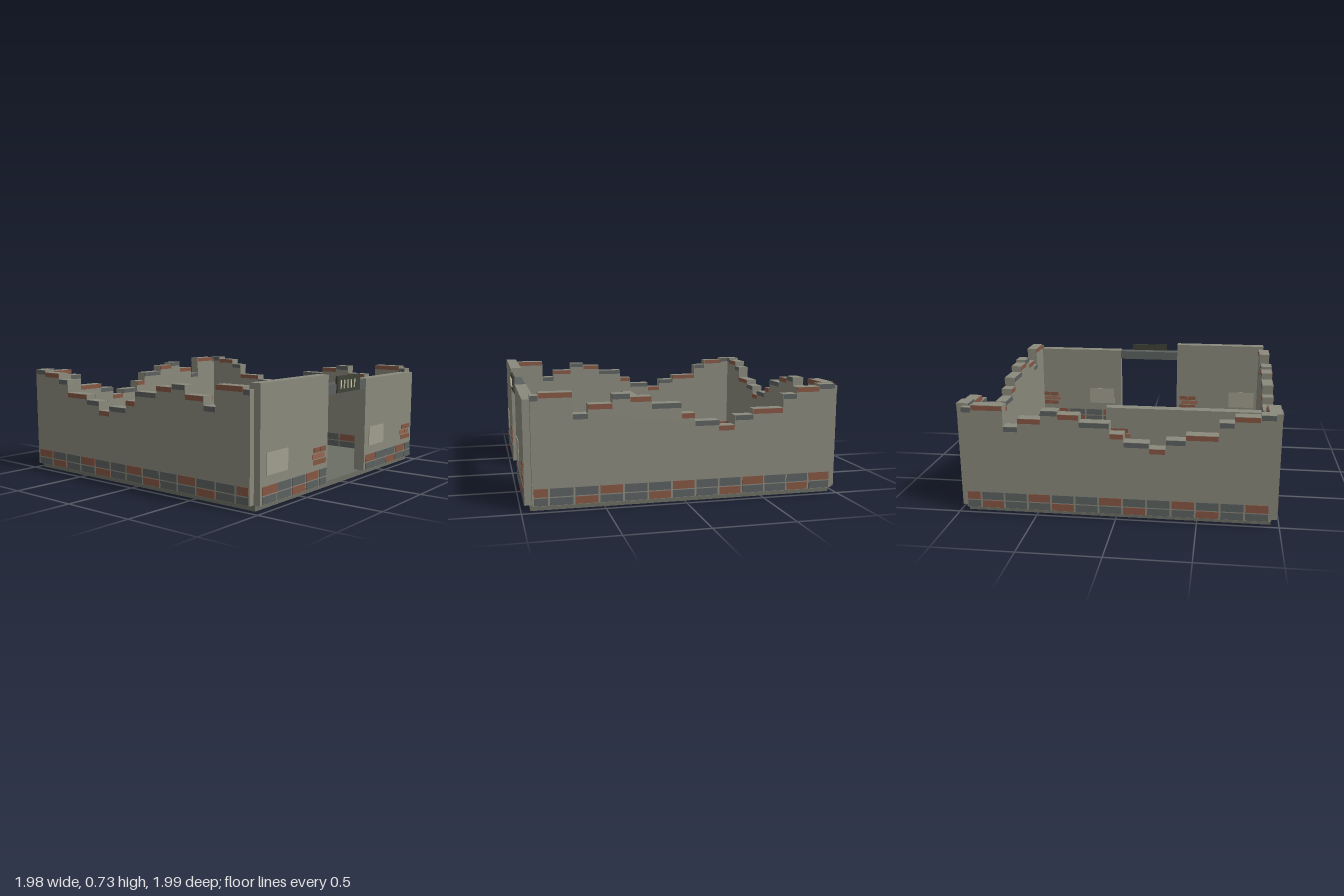
import * as THREE from 'three';

const mat = (color) => new THREE.MeshStandardMaterial({ color });
const M = {
  wall: mat(0x8a897c), floor: mat(0x6b6e64), grey: mat(0x5b605f), red: mat(0x855643),
  paleRed: mat(0x966650), plaster: mat(0xa09e8e), sign: mat(0x3f4236), bar: mat(0xcac6ac),
  wood: mat(0x42332a), blanket: mat(0x6a6d5a),
};
const T = 0.075;      // wall thickness
const PROUD = 0.008;  // how far bricks stand out, both faces together
const BASE = 0.035;   // top of the floor slab

// Box given by its extents
function box(parent, name, m, x0, x1, y0, y1, z0, z1) {
  const mesh = new THREE.Mesh(new THREE.BoxGeometry(x1 - x0, y1 - y0, z1 - z0), m);
  mesh.position.set((x0 + x1) / 2, (y0 + y1) / 2, (z0 + z1) / 2);
  mesh.name = name;
  parent.add(mesh);
  return mesh;
}

// Box centred on the wall plane, d thick
const slab = (g, name, m, x0, x1, y0, y1, d = T) => box(g, name, m, x0, x1, y0, y1, -d / 2, d / 2);

// Two rows of bricks along the foot of a wall, showing on both faces
function baseCourse(g, x0, x1, lowerPhase) {
  for (let i = 0, x = x0 + 0.02; x < x1 - 0.03; i++, x += 0.149) {
    const end = Math.min(x + 0.137, x1 - 0.01);
    slab(g, 'baseBrick', i % 3 === 0 ? M.red : M.grey, x, end, 0.09, 0.14, T + PROUD);
    slab(g, 'baseBrick', i % 3 === lowerPhase ? M.red : M.grey, x, end, 0.038, 0.083, T + PROUD);
  }
}

// Straight-topped wall with a plaster patch and exposed bricks
function plainWall(name, x0, x1, top) {
  const g = new THREE.Group();
  g.name = name;
  slab(g, 'wallPanel', M.wall, x0, x1, BASE, top);
  baseCourse(g, x0, x1, 2);
  slab(g, 'plasterPatch', M.plaster, x0 + 0.06, x0 + 0.27, 0.2, 0.33, T + PROUD);
  for (let row = 0; row < 3; row++) {
    const shift = row === 1 ? -0.018 : 0;
    for (const s of [-1, 1]) {
      const cx = x1 - 0.092 + shift + s * 0.035, y = 0.177 + row * 0.038;
      slab(g, 'exposedBrick', row === 1 ? M.paleRed : M.red, cx - 0.033, cx + 0.033, y, y + 0.031, T + PROUD);
    }
  }
  return g;
}

// Broken top of the ruined walls: [end of step, height]
const STEPS = [
  [-0.86, 0.705], [-0.71, 0.69], [-0.62, 0.65], [-0.425, 0.565], [-0.305, 0.53], [-0.205, 0.47],
  [-0.05, 0.505], [0.035, 0.555], [0.22, 0.62], [0.35, 0.665], [0.455, 0.685], [0.6, 0.63],
  [0.69, 0.575], [0.887, 0.705], [2, 0.69],
];
function ruinedWall(name, x0, x1, lowerPhase) {
  const g = new THREE.Group();
  g.name = name;
  // One stepped outline, extruded to the wall thickness
  const pts = [[x0, BASE]];
  let x = x0;
  STEPS.forEach(([end, h], i) => {
    const e = Math.min(end, x1);
    pts.push([x, h], [e, h]);
    slab(g, 'topBrick', i % 2 ? M.red : M.grey, x + 0.002, e - 0.002, h - 0.031, h - 0.001, T + PROUD);
    x = e;
  });
  pts.push([x1, BASE]);
  const shape = new THREE.Shape(pts.map(([a, b]) => new THREE.Vector2(a, b)));
  const geo = new THREE.ExtrudeGeometry(shape, { depth: T, bevelEnabled: false }).translate(0, 0, -T / 2);
  const panel = new THREE.Mesh(geo, M.wall);
  panel.name = 'brokenWallPanel';
  g.add(panel);
  baseCourse(g, x0, x1, lowerPhase);
  return g;
}

// Small heap of broken bricks: [dx, dz, turn, material]
function rubble(cx, cz) {
  const g = new THREE.Group();
  g.name = 'rubblePile';
  const bricks = [
    [-0.04, -0.04, 0, M.grey], [-0.04, 0.042, -0.6, M.grey],
    [0.04, -0.038, 0.3, M.red], [0.04, 0.04, -0.5, M.red],
  ];
  bricks.forEach(([dx, dz, turn, m], i) => {
    const b = box(g, 'looseBrick', m, -0.036, 0.036, 0, 0.036 + 0.004 * i, -0.036, 0.036);
    b.position.x = dx;
    b.position.z = dz;
    b.rotation.y = turn;
  });
  g.position.set(cx, BASE, cz);
  return g;
}

export function createModel() {
  const root = new THREE.Group();
  root.name = 'ruinedBuilding';
  box(root, 'floorSlab', M.floor, -0.95, 0.95, 0, BASE, -0.962, 0.945);

  // Ruined back and side walls
  const back = ruinedWall('backWall', -0.95, 0.95, 2);
  back.position.z = -0.962;
  root.add(back);
  for (const s of [-1, 1]) {
    const side = ruinedWall(s > 0 ? 'leftWall' : 'rightWall', -0.965, 0.935, 1);
    side.rotation.y = -Math.PI / 2;
    side.position.x = s * 0.95;
    root.add(side);
  }

  // Front wall with a doorway
  const front = new THREE.Group();
  front.name = 'frontWall';
  front.add(plainWall('frontWallRight', -0.95, -0.24, 0.725), plainWall('frontWallLeft', 0.238, 0.95, 0.665));
  slab(front, 'doorLintel', M.grey, -0.24, 0.238, 0.595, 0.66);
  front.position.z = 0.94;
  root.add(front);

  // Sign board over the door
  const sign = new THREE.Group();
  sign.name = 'doorSign';
  box(sign, 'signBoard', M.sign, -0.147, 0.144, 0.6, 0.708, 0.972, 0.985);
  for (let i = 0; i < 5; i++) {
    const x = -0.106 + i * 0.043;
    box(sign, 'signBar', M.bar, x - 0.005, x + 0.005, 0.625, 0.68, 0.984, 0.99);
  }
  root.add(sign);

  // Inner partition
  const partition = plainWall('partitionWall', -0.95, 0.21, 0.44);
  partition.position.z = -0.015;
  root.add(partition);

  // Bed
  const bed = new THREE.Group();
  bed.name = 'bed';
  box(bed, 'bedFrame', M.wood, -0.857, -0.623, BASE, 0.115, -0.78, -0.322);
  box(bed, 'mattress', M.blanket, -0.847, -0.633, 0.11, 0.142, -0.77, -0.332);
  box(bed, 'pillow', M.plaster, -0.82, -0.657, 0.14, 0.168, -0.745, -0.66);
  root.add(bed);

  root.add(rubble(-0.762, 0.622), rubble(0.713, -0.783));
  return root;
}
